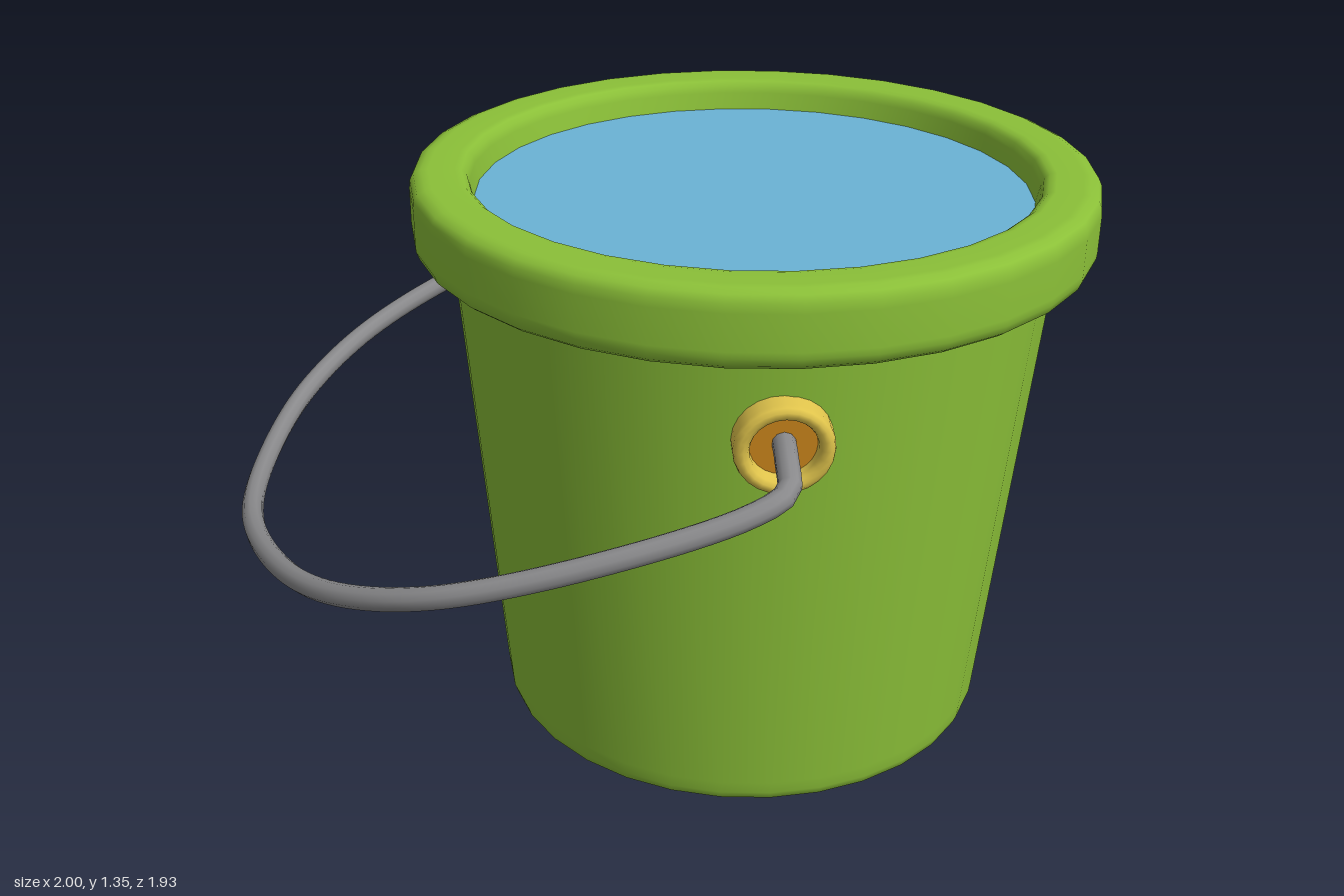
import * as THREE from 'three';

const mat = (name, color) => {
  const m = new THREE.MeshStandardMaterial({ color });
  m.name = name;
  return m;
};

export function createModel() {
  const green = mat('green', 0x8bc038);
  const blue = mat('water blue', 0x6bb3d6);
  const gold = mat('gold', 0xe0c44c);
  const orange = mat('orange', 0xd0881c);
  const grey = mat('grey', 0x8a8a8c);

  const model = new THREE.Group();
  model.name = 'bucket';
  const bucket = new THREE.Group();
  bucket.name = 'bucketBody';
  bucket.position.set(0.22, 0, -0.13);
  model.add(bucket);

  const add = (parent, name, geometry, material) => {
    const mesh = new THREE.Mesh(geometry, material);
    mesh.name = name;
    parent.add(mesh);
    return mesh;
  };
  const lathe = (points, segments) =>
    new THREE.LatheGeometry(points.map(([r, y]) => new THREE.Vector2(r, y)), segments);

  // Tapered wall with a rounded bottom edge
  add(bucket, 'wall', lathe([
    [0, 0], [0.56, 0], [0.575, 0.002], [0.588, 0.012], [0.594, 0.03], [0.597, 0.06],
    [0.69, 1.15], [0.695, 1.2],
  ], 32), green);

  // Thick rim with rounded edges and a sloping inner wall
  add(bucket, 'rim', lathe([
    [0.67, 1.18], [0.745, 1.18], [0.757, 1.182], [0.77, 1.192], [0.777, 1.21], [0.778, 1.225],
    [0.778, 1.305], [0.776, 1.325], [0.768, 1.341], [0.75, 1.349], [0.735, 1.35],
    [0.675, 1.35], [0.66, 1.347], [0.648, 1.337], [0.643, 1.32], [0.628, 1.25],
  ], 32), green);

  // Water surface
  const water = add(bucket, 'water', new THREE.CircleGeometry(0.636, 32), blue);
  water.rotation.x = -Math.PI / 2;
  water.position.y = 1.28;

  // Handle sockets on opposite sides, leaning with the wall
  const ring = lathe([
    [0.105, -0.03], [0.105, 0.03], [0.102, 0.04], [0.094, 0.047], [0.084, 0.047],
    [0.075, 0.041], [0.071, 0.032], [0.07, 0],
  ], 24).rotateX(Math.PI / 2);
  const disc = new THREE.CircleGeometry(0.072, 24).translate(0, 0, 0.012);
  for (const [name, turn] of [['frontSocket', 0], ['backSocket', Math.PI]]) {
    const pivot = new THREE.Group();
    pivot.name = name;
    pivot.rotation.y = 0.367 + turn;
    bucket.add(pivot);
    const socket = new THREE.Group();
    socket.name = name + 'Fitting';
    socket.position.set(0, 0.985, 0.678);
    socket.rotation.x = 0.084;
    pivot.add(socket);
    add(socket, 'socketRing', ring, gold);
    add(socket, 'socketDisc', disc, orange);
  }

  // Wire handle hanging to one side
  const path = new THREE.CatmullRomCurve3([
    [0.46, 0.99, 0.49], [0.495, 0.98, 0.59], [0.515, 0.958, 0.66], [0.46, 0.93, 0.725],
    [0.2, 0.85, 0.86], [-0.107, 0.76, 0.935], [-0.35, 0.685, 0.885], [-0.556, 0.625, 0.755],
    [-0.8, 0.57, 0.48], [-0.925, 0.565, 0.18], [-0.973, 0.605, -0.15], [-0.91, 0.675, -0.42],
    [-0.72, 0.77, -0.69], [-0.445, 0.862, -0.865], [-0.18, 0.93, -0.942], [-0.1, 0.957, -0.92],
    [-0.06, 0.98, -0.84], [-0.03, 0.99, -0.76],
  ].map((p) => new THREE.Vector3(...p)));
  add(model, 'handle', new THREE.TubeGeometry(path, 120, 0.025, 10), grey);

  return model;
}
